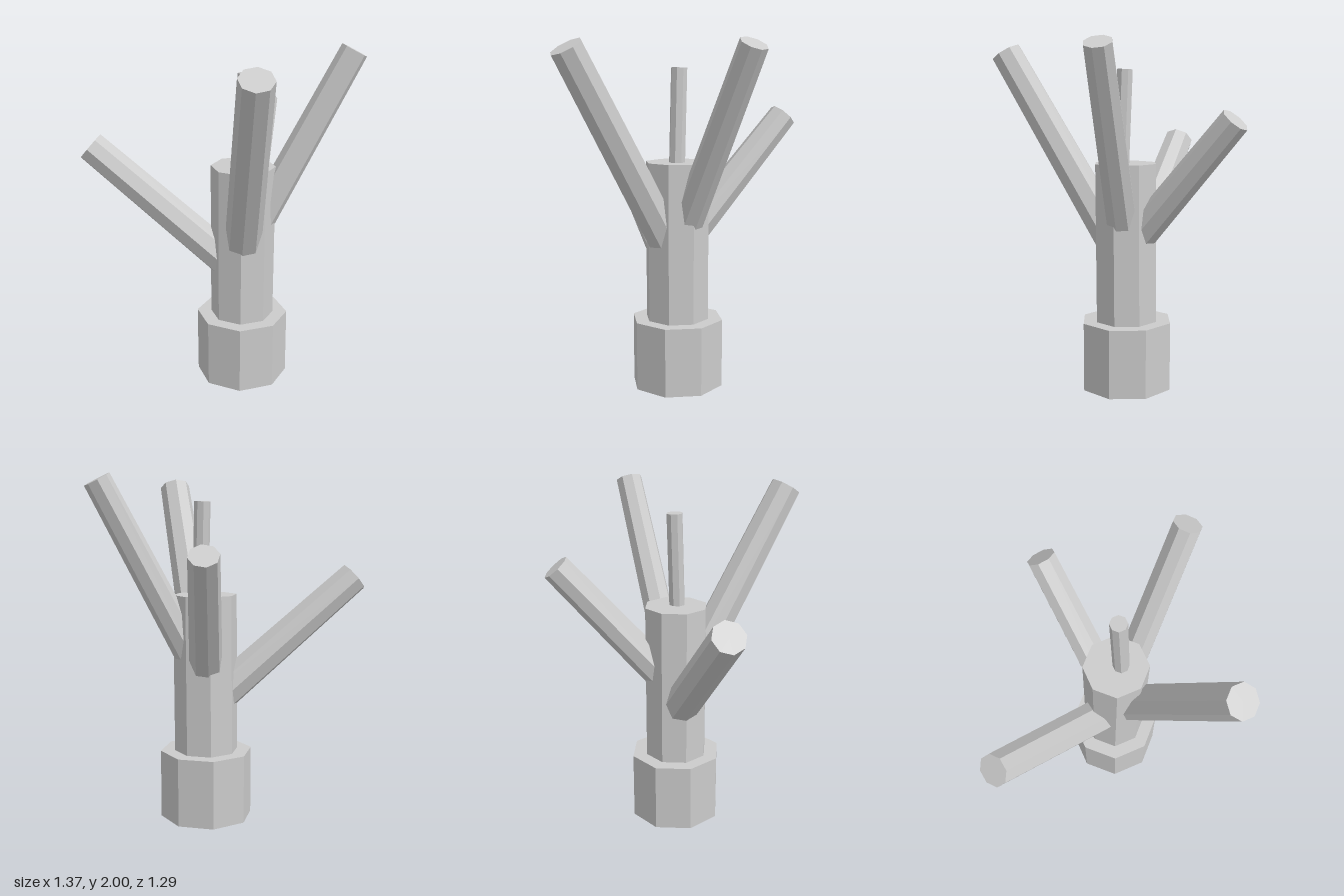
import * as THREE from 'three';

const material = new THREE.MeshStandardMaterial({ color: 0xcccccc, flatShading: true });

// Eight-sided tapered limb running from one point to another
function limb(name, from, to, rBottom, rTop) {
  const a = new THREE.Vector3(...from);
  const b = new THREE.Vector3(...to);
  const axis = b.clone().sub(a);
  const mesh = new THREE.Mesh(new THREE.CylinderGeometry(rTop, rBottom, axis.length(), 8), material);
  mesh.name = name;
  mesh.position.copy(a).add(b).multiplyScalar(0.5);
  mesh.quaternion.setFromUnitVectors(new THREE.Vector3(0, 1, 0), axis.normalize());
  return mesh;
}

export function createModel() {
  const tree = new THREE.Group();
  tree.name = 'bareTree';

  // Wide foot and slightly leaning trunk
  tree.add(limb('trunkBase', [0.03, 0, -0.03], [0.03, 0.4, -0.03], 0.27, 0.27));
  tree.add(limb('trunk', [0.03, 0.2, -0.028], [0.037, 1.32, -0.03], 0.186, 0.186));

  // Branches start on the trunk axis: name, start height, tip, tip radius
  const branches = [
    ['frontRightBranch', 0.655, [-0.61, 1.415, 0.567], 0.092],
    ['frontLeftBranch', 0.74, [0.603, 1.95, 0.408], 0.092],
    ['backLeftBranch', 0.79, [0.4, 1.965, -0.525], 0.078],
    ['backRightBranch', 0.8, [-0.36, 1.575, -0.576], 0.083],
  ];
  for (const [name, y, tip, r] of branches) {
    tree.add(limb(name, [0.033, y, -0.025], tip, r * 1.18, r));
  }

  // Thin twig on top
  tree.add(limb('topTwig', [0.068, 1.2, -0.035], [0.045, 1.85, -0.043], 0.047, 0.047));
  return tree;
}
